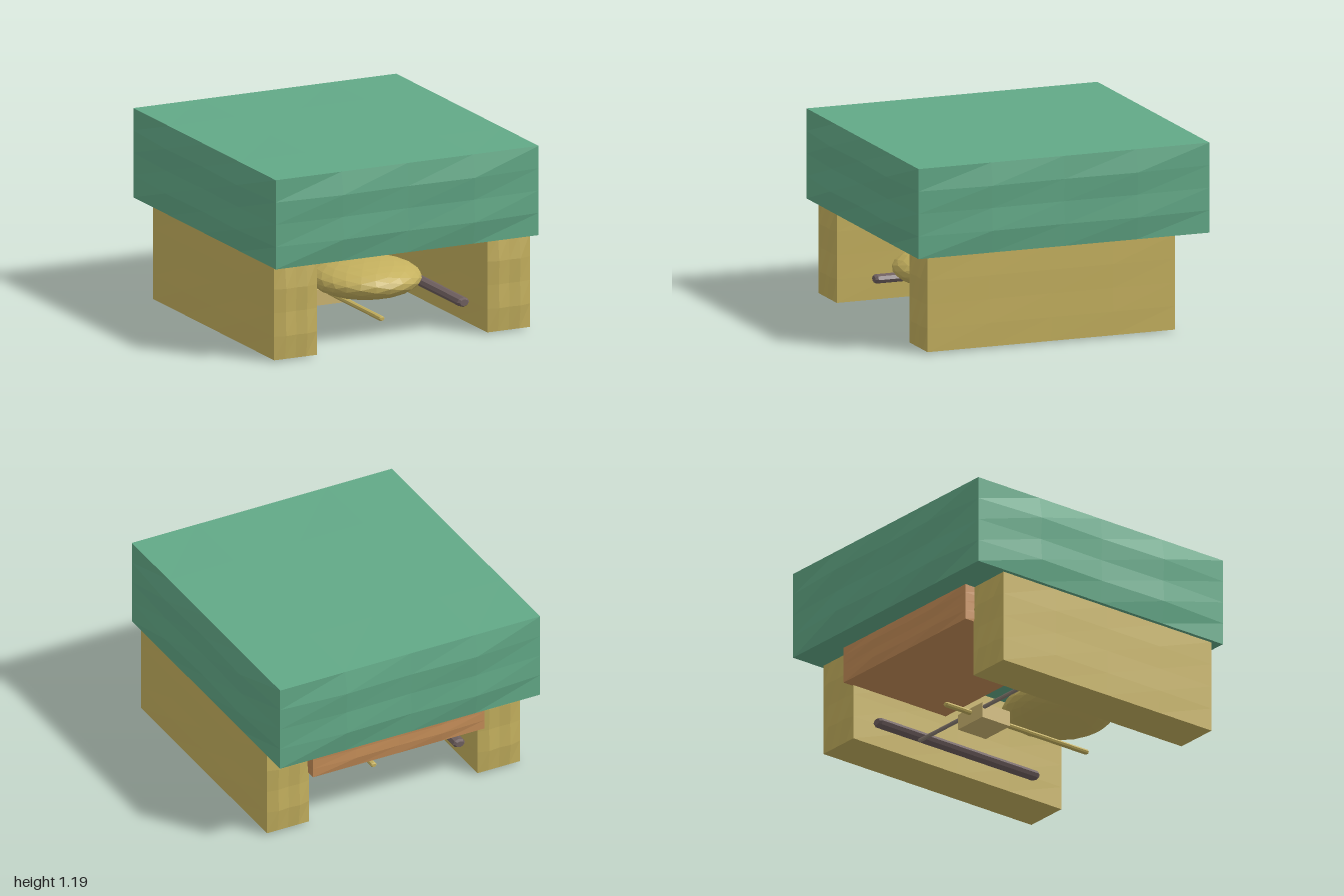
import * as THREE from 'three';

const mat = (name, color) => {
  const m = new THREE.MeshStandardMaterial({ color, flatShading: true });
  m.name = name;
  return m;
};

// Box with faces that swell gently between their edges; each range is [min, max]
function swollenBox(xr, yr, zr, swell) {
  const size = [xr, yr, zr].map(([a, b]) => b - a);
  const geo = new THREE.BoxGeometry(...size, 4, 4, 4);
  const pos = geo.attributes.position, nor = geo.attributes.normal;
  const wave = (t) => { // 0 at the edge, 1 at the quarter, 0.6 in the middle
    const a = Math.abs(t);
    return a > 0.5 ? 2 * (1 - a) : 0.6 + 0.8 * a;
  };
  for (let i = 0; i < pos.count; i++) {
    const w = size.map((s, k) => wave(pos.getComponent(i, k) / (s / 2)));
    for (let k = 0; k < 3; k++) {
      const n = Math.round(nor.getComponent(i, k));
      if (!n) continue;
      const push = n * swell[k] * w[(k + 1) % 3] * w[(k + 2) % 3];
      pos.setComponent(i, k, pos.getComponent(i, k) + push);
    }
  }
  geo.translate((xr[0] + xr[1]) / 2, (yr[0] + yr[1]) / 2, (zr[0] + zr[1]) / 2);
  return geo;
}

// Rod along z with slightly bevelled ends
function rodZ(radius, z0, z1, sides) {
  const h = (z1 - z0) / 2, b = radius * 0.4;
  const profile = [[0, -h], [radius * 0.7, -h], [radius, -h + b], [radius, h - b], [radius * 0.7, h], [0, h]];
  const geo = new THREE.LatheGeometry(profile.map(([x, y]) => new THREE.Vector2(x, y)), sides);
  return geo.rotateX(Math.PI / 2).translate(0, 0, (z0 + z1) / 2);
}

export function createModel() {
  const model = new THREE.Group();
  model.name = 'model';
  const green = mat('green', 0x62a987);
  const yellow = mat('yellow', 0xc4b05e);
  const orange = mat('orange', 0xc38c57);
  const darkGrey = mat('dark grey', 0x6f6060);
  const greyTan = mat('grey tan', 0x8c8076);
  const tan = mat('tan', 0xcdb672);

  const add = (name, geo, material, x = 0, y = 0, z = 0) => {
    const mesh = new THREE.Mesh(geo, material);
    mesh.name = name;
    mesh.position.set(x, y, z);
    model.add(mesh);
    return mesh;
  };

  // Thick top body
  add('topBody', swollenBox([-0.91, 0.91], [0.61, 1.18], [-0.97, 0.97], [0.025, 0.006, 0.03]), green);

  // Side walls and the rails running beside them
  for (const [side, s] of [['left', 1], ['right', -1]]) {
    const xr = s > 0 ? [0.59, 0.885] : [-0.885, -0.59];
    add(side + 'Wall', swollenBox(xr, [0.01, 0.612], [-0.75, 0.9], [0.004, 0.01, 0.02]), yellow);
    add(side + 'Rail', rodZ(0.042, -0.6, 0.67, 8), darkGrey, s * 0.548, 0.15).scale.y = 0.72;
  }

  // Block under the rear of the body
  add('rearBlock', swollenBox([-0.6, 0.6], [0.372, 0.612], [-0.82, -0.02], [0.005, 0.004, 0.012]), orange);

  // Flattened ball under the front
  add('ball', new THREE.IcosahedronGeometry(1, 3), yellow, 0, 0.32, 0.4).scale.set(0.35, 0.12, 0.35);

  // Hub with its long shaft and crossbar
  add('hub', new THREE.BoxGeometry(0.24, 0.1, 0.22), tan, 0, 0.08, -0.19);
  add('shaft', rodZ(0.02, -0.5, 0.63, 8), yellow, 0, 0.103).scale.y = 0.8;
  add('crossbar', rodZ(0.013, -0.52, 0.52, 8), greyTan, 0, 0.103, -0.285).rotation.y = Math.PI / 2;

  return model;
}
